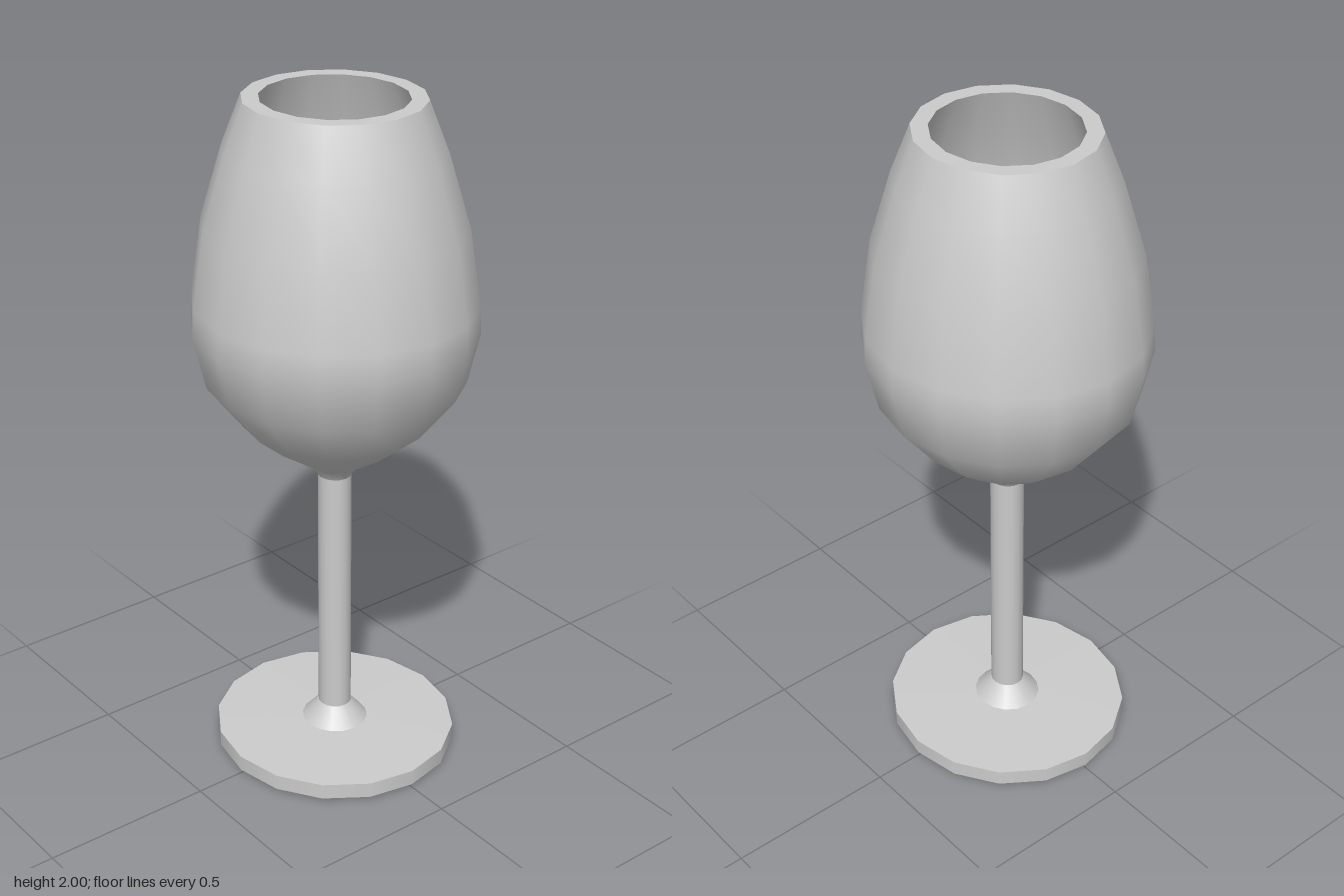
import * as THREE from 'three';

const SIDES = 16;
const DEPTH = 0.96; // the glass is slightly narrower front to back

export function createModel() {
  const model = new THREE.Group();
  model.name = 'wineGlass';
  const glass = new THREE.MeshStandardMaterial({ color: 0xcccccc });

  // Each part is one smooth stretch of the profile; creases fall between parts
  const turn = (name, profile) => {
    const points = profile.map(([r, y]) => new THREE.Vector2(r, y));
    const mesh = new THREE.Mesh(new THREE.LatheGeometry(points, SIDES), glass);
    mesh.name = name;
    mesh.scale.z = DEPTH;
    model.add(mesh);
  };

  // Foot: dimpled underside, edge and top
  turn('footDimple', [[0, 0.05], [0.03, 0.035], [0.07, 0]]);
  turn('footUnderside', [[0.07, 0], [0.2, 0.003], [0.367, 0.01]]);
  turn('footEdge', [[0.367, 0.01], [0.367, 0.057]]);
  turn('footTop', [[0.367, 0.057], [0.1, 0.064]]);

  // Stem with its flared lower end
  turn('stemFlare', [[0.1, 0.064], [0.085, 0.08], [0.05, 0.12]]);
  turn('stem', [[0.05, 0.12], [0.05, 0.89]]);

  // Bowl: outside, flat rim and inside
  turn('bowlOutside', [
    [0.05, 0.89], [0.068, 0.92], [0.19, 1.0], [0.27, 1.065], [0.378, 1.2],
    [0.413, 1.35], [0.409, 1.43], [0.376, 1.65], [0.312, 1.86], [0.256, 2],
  ]);
  turn('rim', [[0.256, 2], [0.208, 2]]);
  turn('bowlInside', [
    [0.208, 2], [0.265, 1.85], [0.328, 1.64], [0.36, 1.42], [0.364, 1.36],
    [0.335, 1.22], [0.235, 1.1], [0.16, 1.04], [0.03, 0.96], [0, 0.95],
  ]);

  return model;
}
